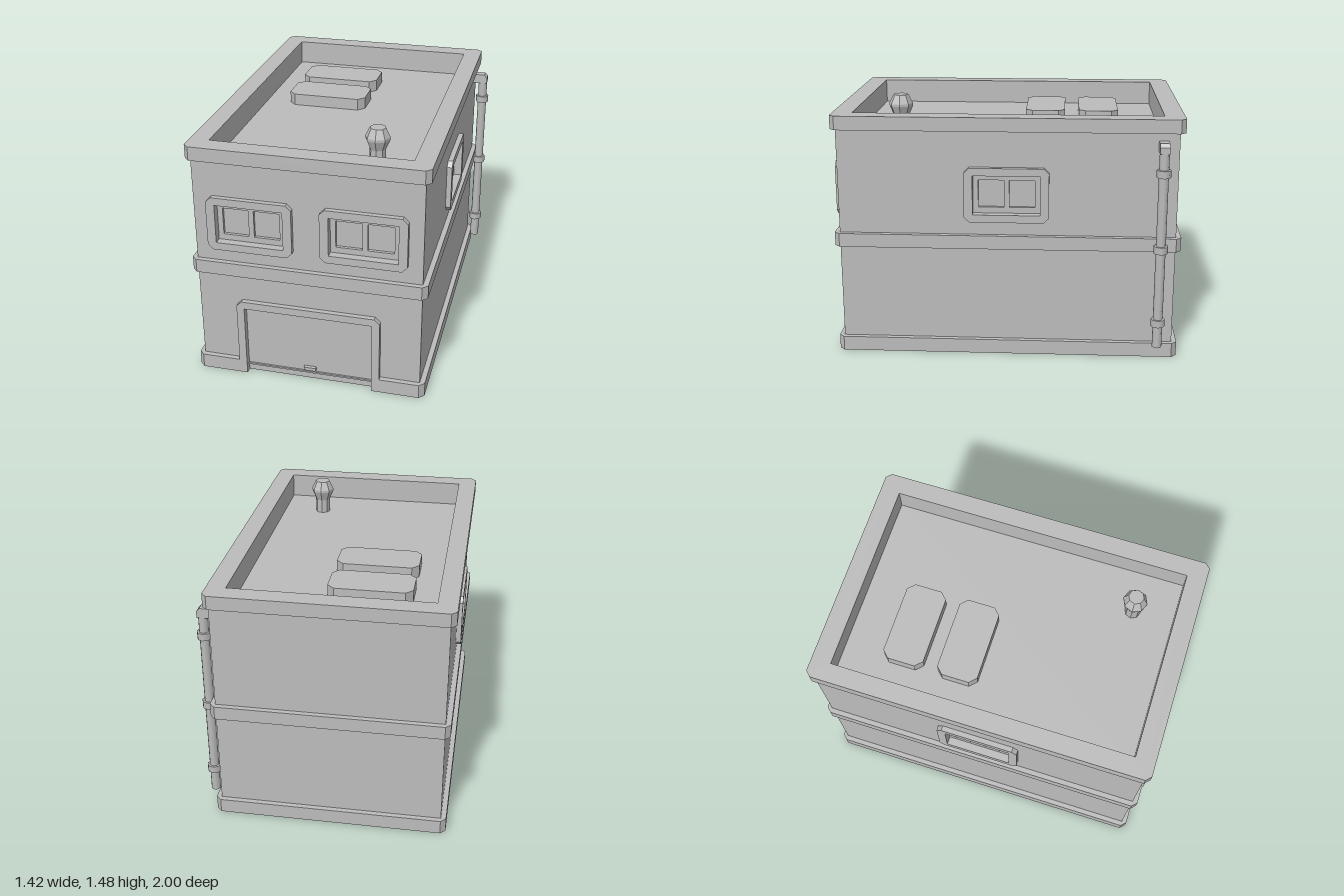
import * as THREE from 'three';

const CX = -0.035;                    // building centre in x; the drainpipe overhangs +x
const HALF_X = 0.645, HALF_Z = 0.97;  // outer wall faces
const WALL = 0.035;                   // wall panel thickness
const WIN_Y = 0.97;                   // window centre height
const ROOF_Y = 1.275;

const points = (list) => list.map(([x, y]) => new THREE.Vector2(x, y));

// Rectangle outline with cut corners
function rect(x0, y0, x1, y1, c = 0) {
  if (!c) return points([[x0, y0], [x1, y0], [x1, y1], [x0, y1]]);
  return points([
    [x0 + c, y0], [x1 - c, y0], [x1, y0 + c], [x1, y1 - c],
    [x1 - c, y1], [x0 + c, y1], [x0, y1 - c], [x0, y0 + c],
  ]);
}

// Outline extruded along +z, with optional holes
function slab(outline, depth, holes = []) {
  const shape = new THREE.Shape(outline);
  holes.forEach((h) => shape.holes.push(new THREE.Path(h)));
  return new THREE.ExtrudeGeometry(shape, { depth, bevelEnabled: false });
}

// Footprint (x, -z) extruded upwards from y0 to y1
function plan(outline, y0, y1, holes = []) {
  return slab(outline, y1 - y0, holes).rotateX(-Math.PI / 2).translate(0, y0, 0);
}

function box(x0, x1, y0, y1, z0, z1) {
  return new THREE.BoxGeometry(x1 - x0, y1 - y0, z1 - z0)
    .translate((x0 + x1) / 2, (y0 + y1) / 2, (z0 + z1) / 2);
}

export function createModel() {
  const model = new THREE.Group();
  model.name = 'building';
  const grey = new THREE.MeshStandardMaterial({ color: 0xbcbcbc });
  grey.name = 'plain grey';

  function add(name, geometry, parent = model) {
    const mesh = new THREE.Mesh(geometry, grey);
    mesh.name = name;
    parent.add(mesh);
    return mesh;
  }

  // Inner core: its top is the roof floor, its sides are the window glass
  const ix = HALF_X - WALL, iz = HALF_Z - WALL;
  add('roofAndGlassCore', box(CX - ix, CX + ix, 0.02, ROOF_Y, -iz, iz));

  // Window: raised frame and a sash with two panes, local z = 0 at the wall face
  function addWindow(parent, x) {
    const win = new THREE.Group();
    win.name = 'window';
    win.position.set(x, WIN_Y, 0);
    parent.add(win);
    const opening = rect(-0.193, -0.115, 0.193, 0.115);
    add('windowFrame', slab(rect(-0.243, -0.16, 0.243, 0.16, 0.03), 0.03, [opening]), win);
    const panes = [-1, 1].map((s) => {
      const a = s * 0.015, b = s * 0.163;
      return rect(Math.min(a, b), -0.08, Math.max(a, b), 0.08);
    });
    add('windowSash', slab(opening, 0.018, panes), win).position.z = -WALL;
  }

  // Wall panel with window openings, turned to face one side
  function addWall(name, halfWidth, distance, angle, windows, doorway) {
    const wall = new THREE.Group();
    wall.name = name;
    wall.position.set(CX + Math.sin(angle) * distance, 0, Math.cos(angle) * distance);
    wall.rotation.y = angle;
    model.add(wall);
    const holes = windows.map((x) =>
      rect(x - 0.193, WIN_Y - 0.115, x + 0.193, WIN_Y + 0.115));
    if (doorway) holes.push(doorway);
    const panel = slab(rect(-halfWidth, 0.04, halfWidth, 1.34), WALL, holes);
    add(name + 'Panel', panel.translate(0, 0, -WALL), wall);
    windows.forEach((x) => addWindow(wall, x));
  }
  const doorway = rect(-0.41 - CX, 0.05, 0.335 - CX, 0.44);
  addWall('frontWall', HALF_X, HALF_Z, 0, [-0.3575 - CX, 0.285 - CX], doorway);
  addWall('backWall', HALF_X, HALF_Z, Math.PI, []);
  addWall('leftWall', iz, HALF_X, Math.PI / 2, [0]);
  addWall('rightWall', iz, HALF_X, -Math.PI / 2, [0]);

  // Base plinth, notched at the door
  add('basePlinth', plan(points([
    [-0.68, -1], [-0.41, -1], [-0.41, -0.95], [0.335, -0.95], [0.335, -1], [0.61, -1],
    [0.64, -0.97], [0.64, 0.97], [0.61, 1], [-0.68, 1], [-0.71, 0.97], [-0.71, -0.97],
  ]), 0, 0.085));

  // Middle ledge, roof rim and the parapet below the rim
  const ledge = rect(-0.71, -1, 0.64, 1, 0.03);
  const roofOpening = rect(-0.60, -0.885, 0.53, 0.885);
  add('middleLedge', plan(ledge, 0.65, 0.73, [rect(-0.66, -0.95, 0.59, 0.95)]));
  add('roofRim', plan(ledge, 1.34, 1.42, [roofOpening]));
  add('parapet', plan(rect(-0.67, -0.96, 0.60, 0.96), ROOF_Y - 0.01, 1.34, [roofOpening]));

  // Garage door with its surround and handle
  add('doorFrame', slab(points([
    [-0.455, 0.085], [-0.41, 0.085], [-0.41, 0.44], [0.335, 0.44], [0.335, 0.085],
    [0.38, 0.085], [0.38, 0.455], [0.35, 0.485], [-0.425, 0.485], [-0.455, 0.455],
  ]), 0.035).translate(0, 0, 0.965));
  add('garageDoor', box(-0.41, 0.335, 0, 0.44, 0.95, 0.96));
  add('doorHandle', box(-0.07, 0, 0.062, 0.082, 0.96, 0.98));

  // Roof units
  for (const z of [-0.53, -0.205]) {
    add('roofUnit', plan(rect(-0.45, -z - 0.12, 0.03, -z + 0.12, 0.04), ROOF_Y, 1.345));
  }

  // Faceted roof vent
  const vent = new THREE.LatheGeometry(points([
    [0.046, ROOF_Y], [0.046, 1.36], [0.07, 1.418], [0.07, 1.432], [0.045, 1.484], [0, 1.484],
  ]), 8).toNonIndexed();
  vent.computeVertexNormals();
  add('roofVent', vent).position.set(0.282, 0, 0.642);

  // Drainpipe with elbow and clamps
  const drain = new THREE.Group();
  drain.name = 'drainpipe';
  drain.position.set(0.67, 0, -0.88);
  model.add(drain);
  add('pipe', new THREE.CylinderGeometry(0.028, 0.028, 1.16, 8).translate(0, 0.66, 0), drain);
  add('elbow', slab(points([
    [-0.065, 1.237], [0.028, 1.237], [0.028, 1.275], [0.01, 1.295], [-0.065, 1.295],
  ]), 0.056).translate(0, 0, -0.028), drain);
  for (const y of [0.232, 0.677, 1.122]) {
    add('clamp', new THREE.CylinderGeometry(0.041, 0.041, 0.043, 8).translate(0, y, 0), drain);
  }

  return model;
}
